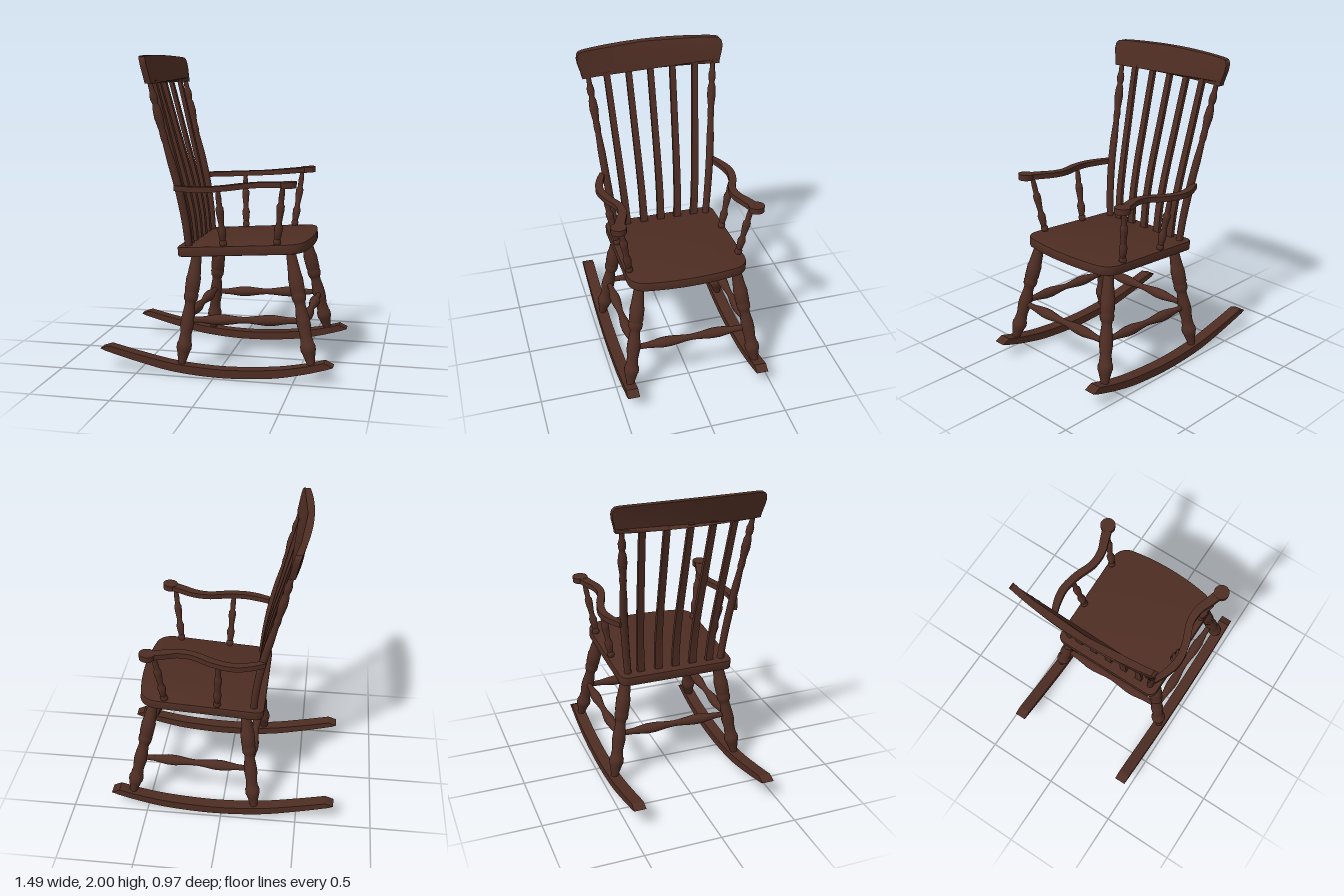
import * as THREE from 'three';
import { toCreasedNormals } from 'three/addons/utils/BufferGeometryUtils.js';

const V = (x, y, z) => new THREE.Vector3(x, y, z);

// Linear lookup in a list of [position, value] pairs
function lookup(table, t) {
  for (let i = 1; i < table.length; i++) {
    const [t0, a] = table[i - 1], [t1, b] = table[i];
    if (t <= t1) return a + (b - a) * (t - t0) / (t1 - t0);
  }
  return table[table.length - 1][1];
}

// Sweep an n-sided section along a smooth path; depth lies along ref, width across it
function sweep(points, ref, width, depth, n = 4, segments = 16) {
  const curve = new THREE.CatmullRomCurve3(points);
  const k = n === 4 ? Math.SQRT1_2 : 0.5;
  const rings = [];
  for (let i = 0; i <= segments; i++) {
    const t = i / segments, c = curve.getPoint(t), d = curve.getTangent(t);
    const v = ref.clone().addScaledVector(d, -ref.dot(d)).normalize();
    const u = v.clone().cross(d);
    const ring = [];
    for (let j = 0; j < n; j++) {
      const a = (j + 0.5) / n * Math.PI * 2;
      ring.push(c.clone().addScaledVector(u, Math.cos(a) * k * width(t))
        .addScaledVector(v, Math.sin(a) * k * depth(t)));
    }
    rings.push(ring);
  }
  const tri = [];
  for (let i = 0; i < segments; i++) {
    for (let j = 0; j < n; j++) {
      const m = (j + 1) % n;
      const a = rings[i][j], b = rings[i][m], c = rings[i + 1][m], d = rings[i + 1][j];
      tri.push(a, b, c, a, c, d);
    }
  }
  const s = rings[0], e = rings[segments];
  for (let j = 1; j < n - 1; j++) tri.push(s[0], s[j + 1], s[j], e[0], e[j], e[j + 1]);
  return toCreasedNormals(new THREE.BufferGeometry().setFromPoints(tri), 0.6);
}

export function createModel() {
  const wood = new THREE.MeshStandardMaterial({ color: 0x4e2d23 });
  wood.name = 'dark brown wood';
  const chair = new THREE.Group();
  chair.name = 'rockingChair';

  const add = (name, geometry) => {
    const mesh = new THREE.Mesh(geometry, wood);
    mesh.name = name;
    chair.add(mesh);
    return mesh;
  };

  // Turned piece between two points, profile as [fraction, radius]
  const turned = (name, a, b, profile) => {
    const length = a.distanceTo(b);
    const pts = [[0, 0], ...profile, [1, 0]].map(([t, r]) => new THREE.Vector2(r, t * length));
    const mesh = add(name, toCreasedNormals(new THREE.LatheGeometry(pts, 16), 0.6));
    mesh.position.copy(a);
    mesh.quaternion.setFromUnitVectors(V(0, 1, 0), b.clone().sub(a).normalize());
  };

  const legProfile = [[0, 0.022], [0.03, 0.026], [0.12, 0.042], [0.14, 0.048], [0.18, 0.048], [0.2, 0.041],
    [0.27, 0.036], [0.36, 0.044], [0.42, 0.042], [0.52, 0.033], [0.55, 0.034], [0.57, 0.043], [0.61, 0.046],
    [0.63, 0.042], [0.65, 0.046], [0.76, 0.047], [0.78, 0.043], [0.88, 0.036], [1, 0.029]];
  const stretcherProfile = [[0, 0.017], [0.12, 0.02], [0.25, 0.034], [0.32, 0.034], [0.45, 0.022], [0.5, 0.02],
    [0.55, 0.022], [0.68, 0.034], [0.75, 0.034], [0.88, 0.02], [1, 0.017]];
  const armPostProfile = [[0, 0.016], [0.05, 0.017], [0.08, 0.024], [0.12, 0.024], [0.15, 0.018], [0.2, 0.022],
    [0.32, 0.027], [0.37, 0.02], [0.42, 0.017], [0.62, 0.025], [0.68, 0.025], [0.72, 0.017], [0.85, 0.018], [1, 0.012]];
  const backPostProfile = [[0, 0.046], [0.4, 0.05], [0.62, 0.05], [0.72, 0.038], [0.75, 0.05], [0.77, 0.038],
    [0.84, 0.058], [0.88, 0.05], [0.9, 0.034], [0.92, 0.048], [0.94, 0.048], [0.96, 0.034], [1, 0.03]];

  // Seat: rounded plan with a bowed front, tilted back
  const plan = new THREE.Shape();
  plan.moveTo(-0.26, -0.33);
  plan.quadraticCurveTo(-0.26, -0.375, -0.21, -0.378);
  plan.lineTo(0.42, -0.383);
  plan.quadraticCurveTo(0.51, -0.38, 0.535, -0.3);
  plan.quadraticCurveTo(0.59, 0, 0.535, 0.3);
  plan.quadraticCurveTo(0.51, 0.38, 0.42, 0.383);
  plan.lineTo(-0.21, 0.378);
  plan.quadraticCurveTo(-0.26, 0.375, -0.26, 0.33);
  const seatGeometry = new THREE.ExtrudeGeometry(plan, {
    depth: 0.048, bevelThickness: 0.007, bevelSize: 0.006, bevelSegments: 2, curveSegments: 10 });
  seatGeometry.rotateX(Math.PI / 2);
  const seat = add('seat', toCreasedNormals(seatGeometry, 0.6));
  seat.position.y = 0.811;
  seat.rotation.z = 0.066;

  // Rocker outline: curved runner with bevelled tips
  const runner = new THREE.Shape();
  runner.moveTo(-0.747, 0.14);
  runner.lineTo(-0.715, 0.126);
  runner.splineThru([[-0.5, 0.07], [-0.25, 0.019], [0.05, 0], [0.35, 0.018], [0.55, 0.056], [0.7, 0.098]]
    .map(p => new THREE.Vector2(...p)));
  runner.lineTo(0.743, 0.114);
  runner.lineTo(0.69, 0.14);
  runner.splineThru([[0.55, 0.104], [0.35, 0.071], [0.05, 0.053], [-0.25, 0.071], [-0.5, 0.117], [-0.69, 0.16]]
    .map(p => new THREE.Vector2(...p)));

  for (const s of [1, -1]) {
    const side = s > 0 ? 'front' : 'rear';
    const rocker = new THREE.ExtrudeGeometry(runner, { depth: 0.078, bevelEnabled: false, curveSegments: 24 });
    rocker.translate(0, 0, s * 0.435 - 0.039);
    add('rocker', toCreasedNormals(rocker, 0.4));

    // Legs and the stretcher joining them along the side
    turned('backLeg', V(-0.218, 0.06, s * 0.435), V(-0.142, 0.775, s * 0.315), legProfile);
    turned('frontLeg', V(0.607, 0.1, s * 0.43), V(0.452, 0.8, s * 0.315), legProfile);
    turned('sideStretcher', V(-0.185, 0.34, s * 0.385), V(0.545, 0.375, s * 0.385), stretcherProfile);

    // Curved back post with turned upper end
    const radius = t => lookup(backPostProfile, t);
    add('backPost', sweep([V(-0.195, 0.78, s * 0.32), V(-0.215, 0.97, s * 0.338), V(-0.255, 1.19, s * 0.36),
      V(-0.335, 1.5, s * 0.387), V(-0.412, 1.83, s * 0.415)], V(1, 0, 0), radius, radius, 12, 50));

    // Serpentine arm with a round hand rest
    const armWidth = t => lookup([[0, 0.035], [0.2, 0.05], [0.6, 0.048], [1, 0.066]], t);
    add('arm', sweep([V(-0.265, 1.178, s * 0.38), V(-0.17, 1.178, s * 0.42), V(-0.07, 1.181, s * 0.44),
      V(0.05, 1.19, s * 0.42), V(0.18, 1.203, s * 0.372), V(0.28, 1.212, s * 0.372),
      V(0.37, 1.218, s * 0.405), V(0.46, 1.225, s * 0.435)], V(0, 1, 0), armWidth, () => 0.034, 4, 32));
    const rest = add('handRest', new THREE.CylinderGeometry(0.05, 0.048, 0.038, 24));
    rest.position.set(0.456, 1.224, s * 0.437);
    rest.rotation.z = 0.06;

    // Turned arm supports
    turned('rearArmSupport', V(0.037, 0.8, s * 0.355), V(0.015, 1.185, s * 0.425), armPostProfile);
    turned('frontArmSupport', V(0.372, 0.82, s * 0.355), V(0.418, 1.215, s * 0.42), armPostProfile);
  }

  // Stretchers across the front and back legs
  turned('backStretcher', V(-0.187, 0.36, -0.385), V(-0.187, 0.36, 0.385), stretcherProfile);
  turned('frontStretcher', V(0.547, 0.36, -0.385), V(0.547, 0.36, 0.385), stretcherProfile);

  // Five flat bent slats fanning outward
  for (let i = -2; i <= 2; i++) {
    const bow = 0.006 * i * i;
    const z = t => i * (0.117 + 0.03 * t);
    add('backSlat', sweep([V(-0.2, 0.78, z(0)), V(-0.218, 0.97, z(0.18)), V(-0.263, 1.19, z(0.39)),
      V(-0.35 + bow / 2, 1.5, z(0.69)), V(-0.445 + bow, 1.84, z(1))],
      V(1, 0, 0), t => 0.049 - 0.01 * t, () => 0.026));
  }

  // Crest rail: outline in z and y, then leaned back and bowed
  const right = [[0.455, 1.822], [0.46, 1.85], [0.477, 1.91], [0.481, 1.94], [0.477, 1.967], [0.463, 1.983], [0.44, 1.988]];
  const outline = [];
  for (let i = -10; i < 10; i++) outline.push([i * 0.0455, 1.822]);
  outline.push(...right);
  for (let i = 9; i >= -9; i--) outline.push([i * 0.0455, 2 - 0.012 * (i / 10) ** 2]);
  outline.push(...right.slice(1).reverse().map(([z, y]) => [-z, y]));
  const crest = new THREE.ExtrudeGeometry(new THREE.Shape(outline.map(p => new THREE.Vector2(...p))),
    { depth: 0.04, bevelEnabled: false });
  crest.rotateY(Math.PI / 2);
  const pos = crest.attributes.position;
  for (let i = 0; i < pos.count; i++) {
    const z = pos.getZ(i);
    pos.setX(i, pos.getX(i) - 0.472 - 0.23 * (pos.getY(i) - 1.822) + 0.045 * (z / 0.48) ** 2);
  }
  add('crestRail', toCreasedNormals(crest, 0.5));

  return chair;
}
